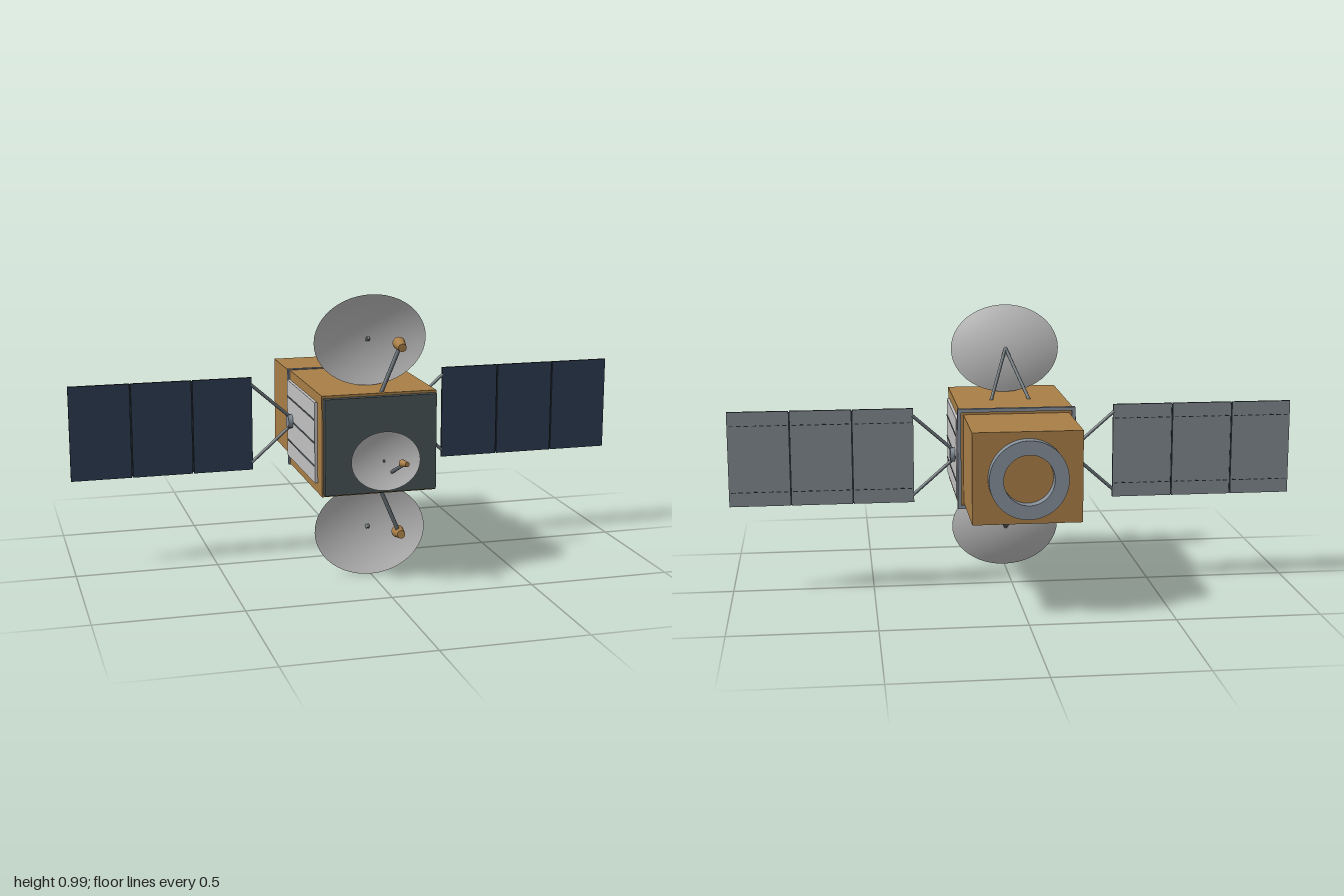
import * as THREE from 'three';

const mat = (name, color, side = THREE.FrontSide) => {
  const m = new THREE.MeshStandardMaterial({ color, side });
  m.name = name;
  return m;
};

export function createModel() {
  const gold = mat('gold foil', 0xa97f47);
  const white = mat('radiator grey', 0xc2c2c2);
  const dishGrey = mat('dish grey', 0xc6c6c6, THREE.DoubleSide);
  const slate = mat('slate deck', 0x4a5557);
  const navy = mat('solar cell navy', 0x2c3b50);
  const metal = mat('metal grey', 0x858f99);
  const strutGrey = mat('strut grey', 0x646d72);
  const backGrey = mat('panel back grey', 0x7d868b);
  const dark = mat('dark trim', 0x262c31);

  const root = new THREE.Group();
  root.name = 'satellite';
  const CY = 0.498; // height of the main axis

  const add = (name, geo, material, pos = [0, 0, 0], parent = root) => {
    const m = new THREE.Mesh(geo, material);
    m.name = name;
    m.position.set(...pos);
    parent.add(m);
    return m;
  };
  const box = (name, size, pos, material, parent) =>
    add(name, new THREE.BoxGeometry(...size), material, pos, parent);

  // Round rod or cone frustum between two points
  const rod = (name, a, b, r0, r1, material, sides = 10, parent = root) => {
    const p = new THREE.Vector3(...a), q = new THREE.Vector3(...b);
    const d = q.clone().sub(p);
    const m = add(name, new THREE.CylinderGeometry(r1, r0, d.length(), sides), material,
      p.clone().add(q).multiplyScalar(0.5).toArray(), parent);
    m.quaternion.setFromUnitVectors(new THREE.Vector3(0, 1, 0), d.normalize());
    return m;
  };

  // Body
  box('payloadModule', [0.4, 0.348, 0.475], [0, CY, 0.1025], gold);
  box('serviceModule', [0.37, 0.312, 0.32], [0, CY, -0.296], gold);
  box('frontDeck', [0.39, 0.331, 0.022], [0, CY, 0.351], slate);

  // Frame around the joint between the modules
  for (const s of [-1, 1]) {
    box('jointFrameRail', [0.412, 0.012, 0.018], [0, CY + s * 0.171, -0.137], metal);
    box('jointFramePost', [0.012, 0.354, 0.018], [s * 0.2, CY, -0.137], metal);
  }

  // Docking ring at the rear
  const ring = new THREE.Shape().absarc(0, 0, 0.133, 0, Math.PI * 2, false);
  ring.holes.push(new THREE.Path().absarc(0, 0, 0.085, 0, Math.PI * 2, true));
  add('rearRing', new THREE.ExtrudeGeometry(ring, { depth: 0.04, bevelEnabled: false, curveSegments: 32 }),
    metal, [0, CY, -0.495]);

  // Side radiators and solar wings
  for (const s of [-1, 1]) {
    box('radiator', [0.012, 0.28, 0.412], [s * 0.204, CY, 0.074], white);
    for (const dy of [-0.08, 0, 0.08])
      box('radiatorLine', [0.004, 0.005, 0.4], [s * 0.21, CY + dy, 0.075], strutGrey);

    const wing = new THREE.Group();
    wing.name = s > 0 ? 'leftWing' : 'rightWing';
    wing.position.set(0, CY + 0.001, -0.062);
    root.add(wing);
    rod('wingHub', [s * 0.205, 0, 0], [s * 0.226, 0, 0], 0.026, 0.026, metal, 8, wing);
    for (const v of [-1, 1])
      rod('wingStrut', [s * 0.216, v * 0.017, 0], [s * 0.358, v * 0.142, 0], 0.006, 0.006, strutGrey, 8, wing);
    for (let i = 0; i < 3; i++) {
      const x = s * (0.4608 + i * 0.2162);
      box('solarPanel', [0.212, 0.336, 0.009], [x, 0, 0], [dark, dark, dark, dark, navy, backGrey], wing);
      // Dashed seams on the back
      for (const v of [-1, 1])
        for (let k = 0; k < 8; k++)
          box('seamDash', [0.015, 0.003, 0.002], [x + (k - 3.5) * 0.0262, v * 0.118, -0.0047], dark, wing);
    }
    for (let i = 0; i < 2; i++)
      box('panelHinge', [0.006, 0.33, 0.003], [s * (0.5689 + i * 0.2162), 0, -0.005], dark, wing);
  }

  // Shallow elliptical reflector facing +z, placed by its rim centre
  const dish = (name, rx, ry, depth, y, z, tilt) => {
    const pts = [];
    for (let i = 0; i <= 8; i++) pts.push(new THREE.Vector2(i / 8, (i / 8) ** 2 - 1));
    const geo = new THREE.LatheGeometry(pts, 48);
    geo.rotateX(Math.PI / 2);
    geo.scale(rx, ry, depth);
    add(name, geo, dishGrey, [0, y, z]).rotation.x = tilt;
  };

  // Large dishes above and below, with V struts, feed boom and horn
  for (const s of [1, -1]) {
    const Y = (d) => CY + s * d;
    dish(s > 0 ? 'upperDish' : 'lowerDish', 0.198, 0.16, 0.03, Y(0.334), 0.224, s * 0.1);
    for (const side of [-1, 1])
      rod('dishStrut', [side * 0.07, Y(0.168), 0.045], [0, Y(0.338), 0.197], 0.006, 0.006, strutGrey);
    rod('feedBoom', [0.012, Y(0.17), 0.317], [0.078, Y(0.326), 0.317], 0.007, 0.007, strutGrey);
    rod('feedHorn', [0.083, Y(0.331), 0.286], [0.077, Y(0.325), 0.348], 0.022, 0.014, gold, 16);
  }

  // Small front dish
  dish('frontDish', 0.12, 0.1, 0.018, 0.456, 0.42, -0.08);
  for (const side of [-1, 1])
    rod('frontDishStrut', [side * 0.018, 0.44, 0.36], [0, 0.453, 0.404], 0.005, 0.005, strutGrey);
  rod('frontFeedBoom', [0.01, 0.385, 0.36], [0.046, 0.456, 0.475], 0.006, 0.006, strutGrey);
  rod('frontFeedHorn', [0.044, 0.456, 0.46], [0.051, 0.46, 0.496], 0.013, 0.008, gold, 16);

  return root;
}
